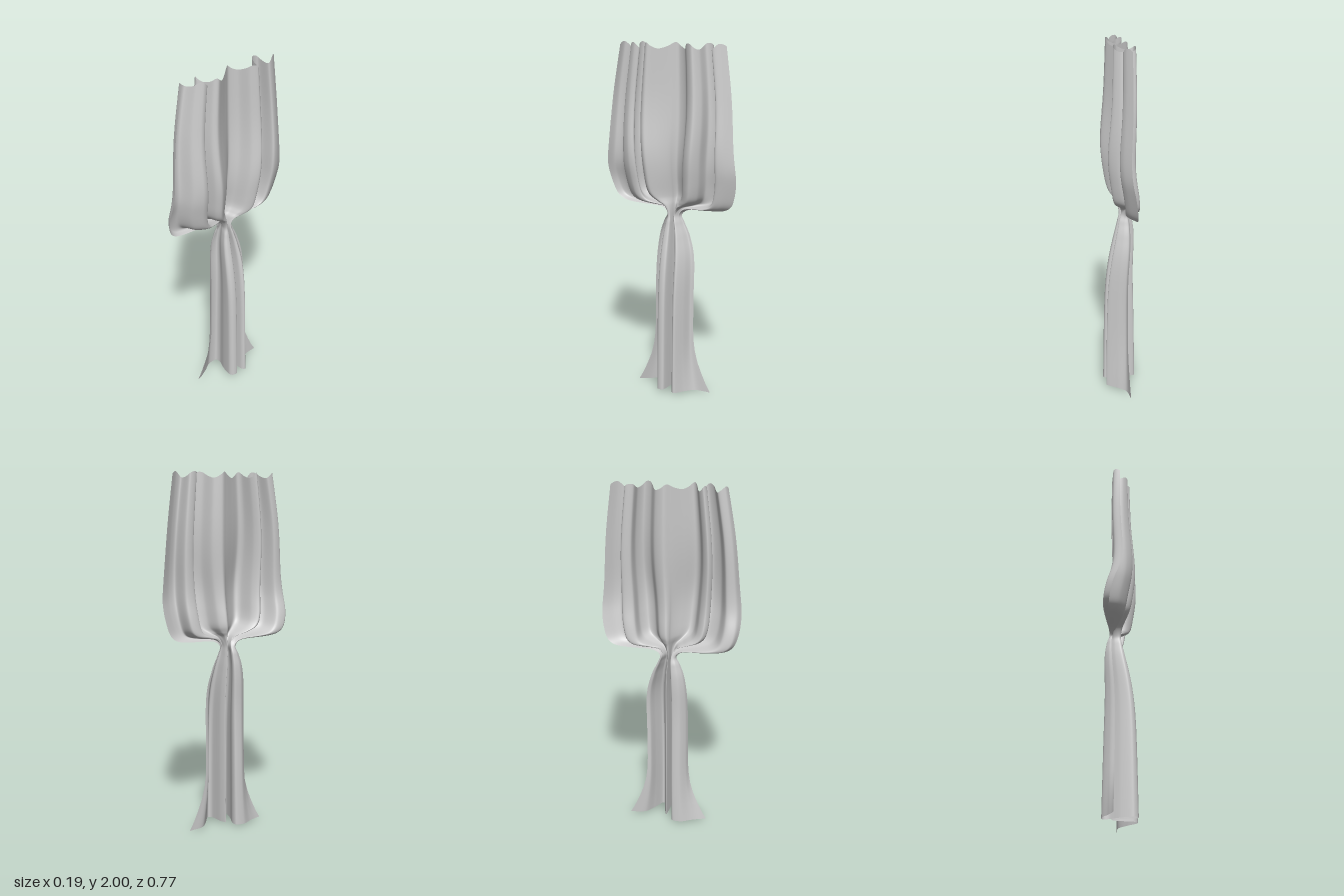
import * as THREE from 'three';

// Pleat cross-sections [z, x], running from the +z edge to the -z edge of the cloth
const upperPleats = [
  [0.30, 0.005], [0.285, -0.03], [0.25, -0.035], [0.225, 0.02], [0.19, 0.045], [0.165, 0.035],
  [0.19, -0.015], [0.175, -0.045], [0.15, -0.02], [0.13, 0.04], [0.105, 0.055], [0.06, 0.025],
  [0.0, -0.02], [-0.035, -0.04], [-0.08, -0.02], [-0.11, 0.035], [-0.15, 0.055], [-0.18, 0.02],
  [-0.19, -0.04], [-0.235, -0.045], [-0.25, 0.02], [-0.28, 0.015], [-0.32, -0.015],
];
const lowerPleats = [
  [0.10, -0.03], [0.09, -0.06], [0.06, -0.095], [0.02, -0.095], [0.015, -0.06], [0.035, 0.0],
  [0.045, 0.065], [0.03, 0.09], [0.0, 0.085], [-0.012, 0.0], [-0.02, -0.05], [-0.035, -0.01],
  [-0.045, 0.07], [-0.065, 0.085], [-0.095, 0.03], [-0.115, -0.02], [-0.135, -0.03],
];

// Rows from top to hem: height, reach to +z, reach to -z, pleat depth
const rows = [
  [1.98, 0.30, 0.32, 1],
  [1.72, 0.345, 0.352, 1.1],
  [1.45, 0.372, 0.372, 1.25],
  [1.29, 0.388, 0.385, 1.25],
  [1.21, 0.375, 0.37, 1.25],
  [1.165, 0.32, 0.325, 1.15],
  [1.13, 0.20, 0.22, 0.85],
  [1.10, 0.09, 0.11, 0.55],
  [1.05, 0.04, 0.055, 0.38],
  [1.00, 0.06, 0.07, 0.45],
  [0.92, 0.085, 0.105, 0.6],
  [0.78, 0.10, 0.135, 0.75],
  [0.50, 0.105, 0.135, 0.9],
  [0.02, 0.108, 0.132, 1],
];

const pleatCurve = (points) => new THREE.CatmullRomCurve3(
  points.map(([z, x]) => new THREE.Vector3(x, 0, z)), false, 'catmullrom', 0.4);

// Smooth interpolation between the rows
function rowAt(t) {
  const f = t * (rows.length - 1);
  const i = Math.min(Math.floor(f), rows.length - 2);
  const k = f - i;
  const before = rows[Math.max(0, i - 1)];
  const after = rows[Math.min(rows.length - 1, i + 2)];
  return rows[i].map((b, c) => {
    const a = before[c], d = rows[i + 1][c], e = after[c];
    return b + 0.5 * k * (d - a + k * (2 * a - 5 * b + 4 * d - e + k * (3 * (b - d) + e - a)));
  });
}

const bump = (y, centre, width) => Math.exp(-(((y - centre) / width) ** 2));

function clothGeometry(nu, nv) {
  const upper = pleatCurve(upperPleats), lower = pleatCurve(lowerPleats);
  const positions = [], indices = [];
  for (let j = 0; j <= nv; j++) {
    const [height, zFront, zBack, depth] = rowAt(j / nv);
    // Pleats change over at the tie; the sides sag above it and flare at the hem
    const blend = 1 - THREE.MathUtils.smoothstep(height, 1.0, 1.15);
    const xOffset = 0.02 * bump(height, 1.35, 0.25) - 0.036 * bump(height, 1.03, 0.25);
    const sag = 0.065 * bump(height, 1.165, 0.06) + 0.02 * bump(height, 0.02, 0.06);
    const pull = -0.045 * bump(height, 1.17, 0.1);
    const flare = 0.125 * Math.max(0, 1 - height / 0.4) ** 2.5;
    const ragged = 0.016 * Math.max(0, 1 - j / (nv * 0.08));
    // Inner pleats close in towards the tie sooner than the outer ones
    const gather = 1 + 0.3 * bump(height, 1.2, 0.25) * (1 - blend);
    for (let i = 0; i <= nu; i++) {
      const t = i / nu, s = 1 - 2 * t, side = Math.abs(s);
      const a = upper.getPoint(t), b = lower.getPoint(t);
      // Bring both pleat profiles to -1..1 in z, then spread them to the row
      const za = a.z / (a.z > 0 ? 0.30 : 0.32), zb = b.z / (b.z > 0 ? 0.10 : 0.135);
      const zn = THREE.MathUtils.lerp(Math.sign(za) * Math.abs(za) ** gather, zb, blend);
      const z = zn * (zn > 0 ? zFront : zBack) + Math.sign(s) * flare * side ** 7;
      const x = xOffset + depth * THREE.MathUtils.lerp(a.x, b.x, blend) + (s > 0 ? pull : pull * 0.3) * side ** 3;
      const y = height - sag * side ** 1.3 + ragged * Math.sin(t * 47);
      positions.push(x, y, z);
      if (i < nu && j < nv) {
        const p = j * (nu + 1) + i, q = p + nu + 1;
        indices.push(p, q, p + 1, p + 1, q, q + 1);
      }
    }
  }
  const geometry = new THREE.BufferGeometry();
  geometry.setAttribute('position', new THREE.Float32BufferAttribute(positions, 3));
  geometry.setIndex(indices);
  geometry.computeVertexNormals();
  return geometry;
}

export function createModel() {
  const group = new THREE.Group();
  group.name = 'gatheredCurtain';
  const material = new THREE.MeshStandardMaterial({ color: 0xcccccc, side: THREE.DoubleSide });
  const cloth = new THREE.Mesh(clothGeometry(176, 104), material);
  cloth.name = 'curtainCloth';
  group.add(cloth);
  return group;
}
